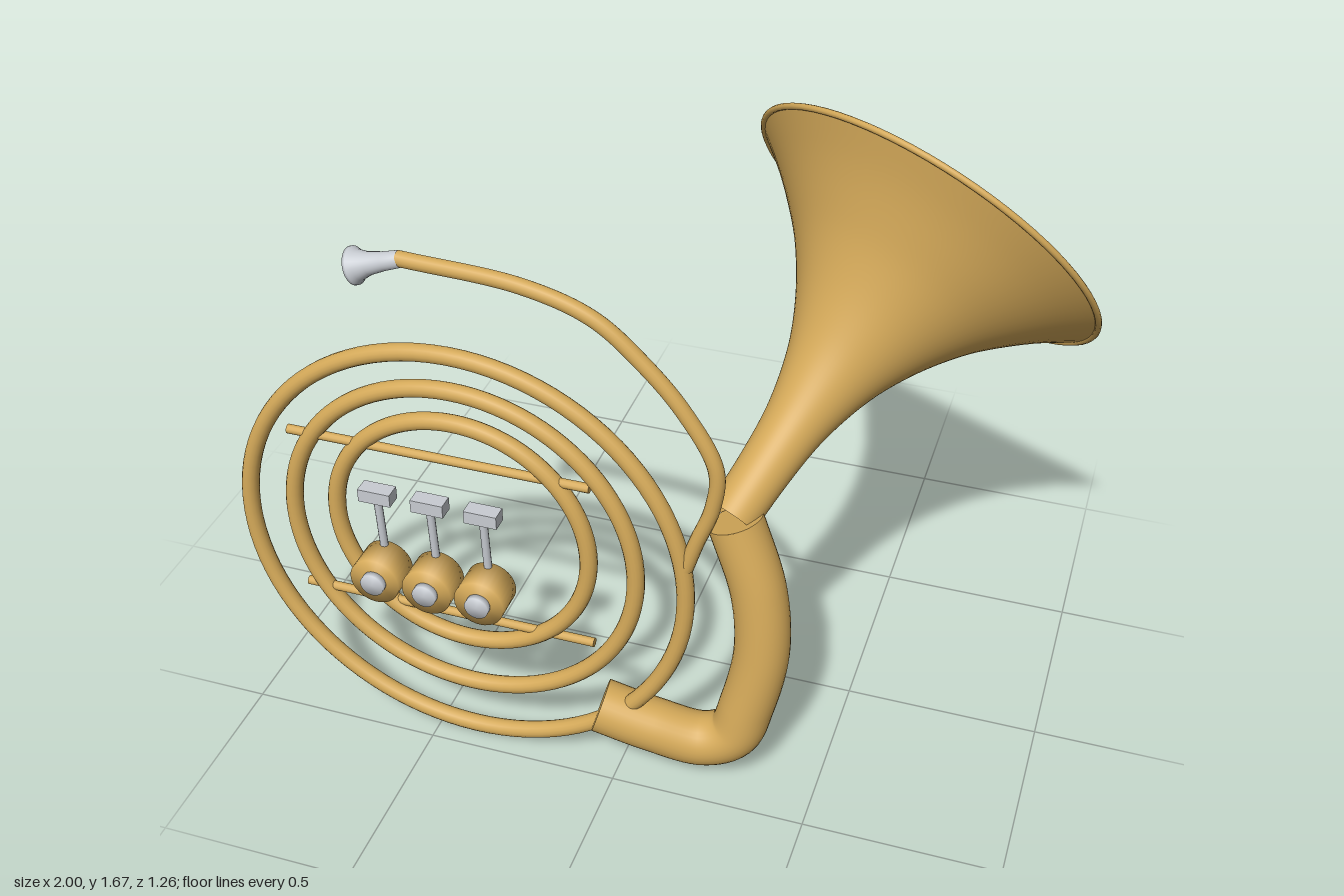
import * as THREE from 'three';

const brass = new THREE.MeshStandardMaterial({ color: 0xd4a959, side: THREE.DoubleSide });
brass.name = 'brass';
const silver = new THREE.MeshStandardMaterial({ color: 0xc8ccd2, side: THREE.DoubleSide });
silver.name = 'silver';

const V = (x, y, z) => new THREE.Vector3(x, y, z);
const Y = V(0, 1, 0);
const PLANE = 0.44; // depth of the coiled tubing

export function createModel() {
  const model = new THREE.Group();
  model.name = 'horn';

  const add = (name, geo, mat, x = 0, y = 0, z = 0, parent = model) => {
    const m = new THREE.Mesh(geo, mat);
    m.name = name;
    m.position.set(x, y, z);
    parent.add(m);
    return m;
  };
  const pipe = (pts, r, seg, sides) =>
    new THREE.TubeGeometry(new THREE.CatmullRomCurve3(pts), seg, r, sides);
  const lathe = (pts, sides) =>
    new THREE.LatheGeometry(pts.map(p => new THREE.Vector2(p[0], p[1])), sides);
  // Solid drum along +z whose normals blend over the edge
  const drum = (r, h) => lathe([[0, 0], [r, 0], [r, h], [0, h]], 32).rotateX(Math.PI / 2);

  // Three nested coils
  for (const [name, y, r] of [['outerCoil', 0.601, 0.575], ['middleCoil', 0.628, 0.45], ['innerCoil', 0.657, 0.331]])
    add(name, new THREE.TorusGeometry(r, 0.022, 16, 96), brass, -0.4, y, PLANE);

  // Horizontal braces
  for (const y of [0.877, 0.4])
    add('brace', new THREE.CylinderGeometry(0.012, 0.012, 0.78, 12).rotateZ(Math.PI / 2), brass, -0.45, y, PLANE);

  // Lead pipe sweeping from the outer coil to the mouthpiece
  add('leadPipe', pipe([
    V(0.175, 0.7, PLANE), V(0.2, 0.78, PLANE), V(0.238, 0.89, PLANE), V(0.245, 1.0, PLANE), V(0.17, 1.14, PLANE),
    V(0.075, 1.25, PLANE), V(-0.04, 1.345, PLANE), V(-0.2, 1.396, PLANE), V(-0.5, 1.415, PLANE),
  ], 0.019, 80, 16), brass);

  // Mouthpiece
  const mouth = add('mouthpiece', lathe([
    [0, 0], [0.02, 0], [0.022, 0.04], [0.027, 0.08], [0.036, 0.105], [0.045, 0.115], [0.045, 0.122], [0.038, 0.122], [0.014, 0.08], [0, 0.078],
  ], 28), silver, -0.495, 1.414, PLANE);
  mouth.quaternion.setFromUnitVectors(Y, V(-0.95, -0.31, 0).normalize());

  // Valves with caps and thumb levers
  for (const x of [-0.555, -0.42, -0.285]) {
    const valve = new THREE.Group();
    valve.name = 'valve';
    valve.position.set(x, 0.604, 0);
    model.add(valve);
    add('valveBody', drum(0.063, 0.082), brass, 0, 0, 0.529, valve);
    add('valveCap', drum(0.03, 0.022), silver, 0, 0, 0.605, valve);
    add('leverRod', new THREE.CylinderGeometry(0.01, 0.01, 0.17, 12), silver, 0, 0.135, 0.547, valve).rotation.x = 0.06;
    add('leverPad', new THREE.BoxGeometry(0.082, 0.034, 0.04), silver, 0, 0.221, 0.55, valve);
  }

  // Thick branch tube, closed at both ends
  const branch = [
    V(-0.05, 0.19, 0.437), V(0.08, 0.15, 0.422), V(0.21, 0.119, 0.4), V(0.285, 0.155, 0.389),
    V(0.317, 0.25, 0.378), V(0.345, 0.42, 0.36), V(0.327, 0.59, 0.342), V(0.26, 0.775, 0.323),
  ];
  add('branchTube', pipe(branch, 0.069, 72, 32), brass);
  for (const [end, next] of [[branch[0], branch[1]], [branch[7], branch[6]]]) {
    const cap = add('branchEnd', new THREE.CircleGeometry(0.069, 32), brass, end.x, end.y, end.z);
    cap.quaternion.setFromUnitVectors(V(0, 0, 1), end.clone().sub(next).normalize());
  }

  // Flared bell with a beaded rim
  const bell = new THREE.Group();
  bell.name = 'bell';
  bell.position.set(0.248, 0.775, 0.316);
  bell.quaternion.setFromUnitVectors(Y, V(0.36, 0.601, -0.714).normalize());
  model.add(bell);
  const flare = new THREE.SplineCurve([
    [0.063, 0], [0.066, 0.12], [0.075, 0.24], [0.092, 0.33], [0.119, 0.42], [0.155, 0.5],
    [0.202, 0.58], [0.262, 0.66], [0.33, 0.73], [0.398, 0.79], [0.474, 0.847],
  ].map(p => new THREE.Vector2(...p)));
  add('bellFlare', new THREE.LatheGeometry(flare.getPoints(40), 64), brass, 0, 0, 0, bell);
  add('bellRim', new THREE.TorusGeometry(0.474, 0.008, 10, 72).rotateX(Math.PI / 2), brass, 0, 0.847, 0, bell);

  return model;
}
